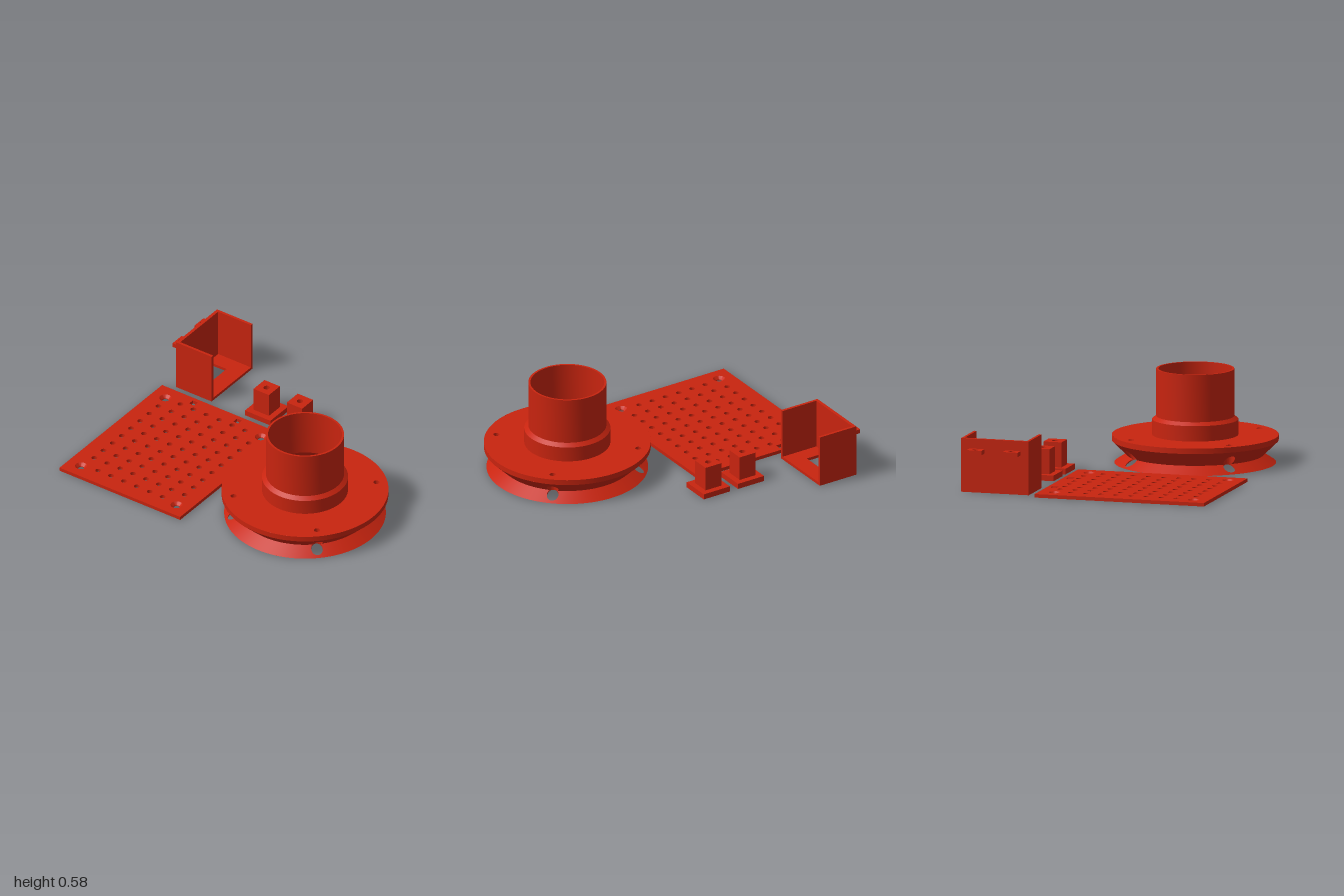
import * as THREE from 'three';
import { toCreasedNormals } from 'three/addons/utils/BufferGeometryUtils.js';

const red = new THREE.MeshStandardMaterial({ color: 0xc8240f, side: THREE.DoubleSide });
red.name = 'red plastic';

function add(parent, name, geometry, x = 0, y = 0, z = 0) {
  const mesh = new THREE.Mesh(geometry, red);
  mesh.name = name;
  mesh.position.set(x, y, z);
  parent.add(mesh);
  return mesh;
}

function group(parent, name, x = 0, y = 0, z = 0) {
  const g = new THREE.Group();
  g.name = name;
  g.position.set(x, y, z);
  parent.add(g);
  return g;
}

const creased = (g) => toCreasedNormals(g, 0.5);
const lathe = (pts, segments) =>
  creased(new THREE.LatheGeometry(pts.map(([r, y]) => new THREE.Vector2(r, y)), segments));

const circle = (x, z, r, n = 20) => Array.from({ length: n }, (_, i) => {
  const a = (i / n) * Math.PI * 2;
  return [x + r * Math.cos(a), z + r * Math.sin(a)];
});
const rect = (x0, x1, z0, z1) => [[x0, z0], [x1, z0], [x1, z1], [x0, z1]];

// Flat slab lying on y = 0, pierced by vertical holes
function slab(outline, holes, height) {
  const toVec = (pts) => pts.map(([x, z]) => new THREE.Vector2(x, -z));
  const shape = new THREE.Shape(toVec(outline));
  shape.holes = holes.map((h) => new THREE.Path(toVec(h)));
  const g = new THREE.ExtrudeGeometry(shape, { depth: height, bevelEnabled: false });
  return creased(g.rotateX(-Math.PI / 2));
}

function fromTriangles(positions) {
  const g = new THREE.BufferGeometry();
  g.setAttribute('position', new THREE.Float32BufferAttribute(positions, 3));
  return creased(g);
}

// Ring surface y = height(r), pierced by four vertical holes on the bolt circle
const BOLT = 0.445;
function piercedRing(rA, rB, height, holeR, faceUp) {
  const edge = Math.asin(holeR / BOLT);
  const phis = [];
  for (let i = 0; i < 10; i++) phis.push(-Math.PI / 4 + (i / 10) * (Math.PI / 4 - edge));
  for (let i = 0; i <= 16; i++) phis.push(edge * Math.sin((i / 16 - 0.5) * Math.PI));
  for (let i = 1; i <= 10; i++) phis.push(edge + (i / 10) * (Math.PI / 4 - edge));
  const clamp = (r) => Math.min(rB, Math.max(rA, r));
  const gap = (phi) => {
    const mid = BOLT * Math.cos(phi);
    const half = Math.sqrt(Math.max(0, holeR ** 2 - (BOLT * Math.sin(phi)) ** 2));
    return [clamp(mid - half), clamp(mid + half)];
  };
  const out = [];
  const point = (r, a) => [r * Math.cos(a), height(r), r * Math.sin(a)];
  const quad = (a0, a1, r0, s0, r1, s1) => {
    if (s0 - r0 < 1e-5 && s1 - r1 < 1e-5) return;
    const A = point(r0, a0), B = point(s0, a0), C = point(s1, a1), D = point(r1, a1);
    for (const t of faceUp ? [[A, C, B], [A, D, C]] : [[A, B, C], [A, C, D]]) out.push(...t.flat());
  };
  for (let k = 0; k < 4; k++) {
    const base = Math.PI / 4 + (k * Math.PI) / 2;
    for (let i = 0; i + 1 < phis.length; i++) {
      const [l0, h0] = gap(phis[i]), [l1, h1] = gap(phis[i + 1]);
      quad(base + phis[i], base + phis[i + 1], rA, l0, rA, l1);
      quad(base + phis[i], base + phis[i + 1], h0, rB, h1, rB);
    }
  }
  return fromTriangles(out);
}

function buildFlange(root) {
  const flange = group(root, 'flangedSpout', 0.487, 0, 0.275);
  const line = (r0, y0, r1, y1) => (r) => y0 + ((r - r0) / (r1 - r0)) * (y1 - y0);
  const WAIST = 0.42, BORE = 0.036, SCREW = 0.019, SHOULDER = 0.12, TOP = 0.174;
  const skirt = line(0.497, 0, WAIST, 0.05);
  const taper = line(WAIST, 0.05, 0.513, 0.14);
  const inner = line(0.485, 0, 0.25, 0.15);

  add(flange, 'skirt', piercedRing(WAIST, 0.497, skirt, BORE, true));
  add(flange, 'flangeUnderside', piercedRing(WAIST, 0.513, taper, BORE, false));
  add(flange, 'innerCone', piercedRing(0.25, 0.485, inner, BORE, false));
  add(flange, 'flangeTop', piercedRing(0.26, 0.513, () => TOP, SCREW, true));
  add(flange, 'flangeRim', lathe([[0.513, 0.14], [0.513, TOP]], 96));
  add(flange, 'skirtLip', lathe([[0.485, 0], [0.497, 0]], 96));
  add(flange, 'spout', lathe([
    [0.265, TOP], [0.265, 0.27], [0.24, 0.29], [0.24, 0.585],
    [0.227, 0.585], [0.227, 0.29], [0.25, 0.25], [0.25, 0.15],
  ], 80));

  // Screw bores: wide from below, narrow through the flange top
  const wall = [];
  const strip = (p, q, lo, hi) => {
    const A = [p[0], lo(p), p[1]], B = [q[0], lo(q), q[1]];
    const C = [q[0], hi(q), q[1]], D = [p[0], hi(p), p[1]];
    wall.push(...A, ...B, ...C, ...A, ...C, ...D);
  };
  const at = (f) => (p) => f(Math.hypot(p[0], p[1]));
  for (const sx of [-1, 1]) for (const sz of [-1, 1]) {
    const x = sx * BOLT * Math.SQRT1_2, z = sz * BOLT * Math.SQRT1_2;
    const ring = circle(x, z, BORE, 40);
    ring.forEach((p, i) => {
      const q = ring[(i + 1) % ring.length];
      if (Math.hypot((p[0] + q[0]) / 2, (p[1] + q[1]) / 2) > WAIST) {
        strip(p, q, at(inner), at(skirt));
        strip(p, q, at(taper), () => SHOULDER);
      } else strip(p, q, at(inner), () => SHOULDER);
    });
    add(flange, 'screwHole', lathe([[BORE, SHOULDER], [SCREW, SHOULDER], [SCREW, TOP]], 24), x, 0, z);
  }
  add(flange, 'screwBores', fromTriangles(wall));
}

function buildPlate(root) {
  const plate = group(root, 'perforatedPlate');
  const T = 0.022;
  const holes = [rect(-0.75, -0.712, -0.275, -0.235), rect(-0.417, -0.38, -0.275, -0.235)];
  for (let c = 0; c < 8; c++) for (let r = 0; r < 10; r++) {
    // the grid corners are taken by the countersunk holes
    if ((c === 0 || c === 7) && (r === 0 || r === 9)) continue;
    holes.push(circle(-0.887 + c * 0.0973, -0.2 + r * 0.097, 0.018));
  }
  for (const x of [-0.904, -0.184]) for (const z of [-0.2, 0.693]) {
    holes.push(circle(x, z, 0.037, 28));
    add(plate, 'countersink', lathe([[0.037, T], [0.019, 0.005], [0.019, 0], [0.037, 0]], 28), x, 0, z);
  }
  add(plate, 'plate', slab(rect(-1, -0.09, -0.3, 0.787), holes, T));
}

function buildPost(root, x) {
  const post = group(root, 'mountingPost', x, 0, -0.454);
  const bore = [circle(0, 0, 0.02)];
  add(post, 'postBase', slab(rect(-0.096, 0.096, -0.096, 0.096), bore, 0.035));
  add(post, 'postBlock', slab(rect(-0.058, 0.058, -0.058, 0.058), bore, 0.157), 0, 0.034, 0);
}

function buildBracket(root) {
  const bracket = group(root, 'boxBracket');
  const H = 0.335, x0 = -0.936, x1 = -0.668, z0 = -0.792, z1 = -0.358;
  add(bracket, 'floor', slab(rect(x0, x1, z0, z1), [rect(-0.898, -0.78, -0.674, -0.476)], 0.018));
  add(bracket, 'sideWall', slab(rect(x0, x0 + 0.02, z0, z1), [], H));
  add(bracket, 'backWall', slab(rect(x0, x1, z0, z0 + 0.017), [], H));
  add(bracket, 'frontWall', slab(rect(x0, x1, z1 - 0.017, z1), [], H));
  // Screw ears on the outer side
  for (const z of [-0.69, -0.458]) {
    add(bracket, 'ear', slab(rect(-1, x0, z - 0.048, z + 0.048), [circle(-0.972, z, 0.018)], 0.027), 0, 0.246, 0);
  }
}

export function createModel() {
  const root = new THREE.Group();
  root.name = 'printedPartsSet';
  buildFlange(root);
  buildPlate(root);
  buildPost(root, -0.321);
  buildPost(root, -0.07);
  buildBracket(root);
  return root;
}
